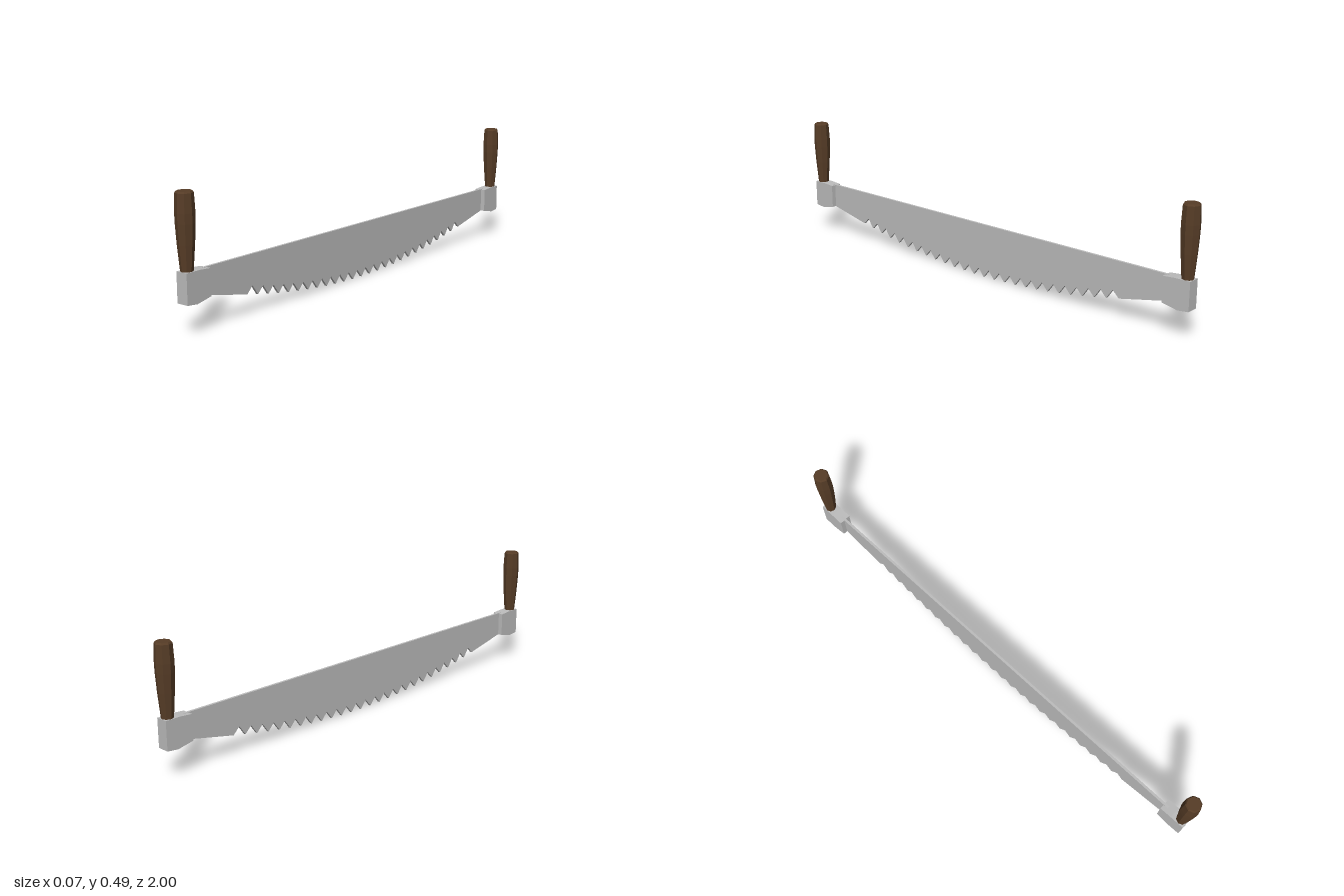
import * as THREE from 'three';

export function createModel() {
  const steel = new THREE.MeshStandardMaterial({ color: 0xbcbcbc });
  steel.name = 'steel';
  const wood = new THREE.MeshStandardMaterial({ color: 0x573d27 });
  wood.name = 'dark wood';
  const model = new THREE.Group();
  model.name = 'twoManSaw';

  // Extrudes a (z, y) outline to a thickness centred on x = 0
  const plate = (points, thickness) => {
    const shape = new THREE.Shape(points.map(([z, y]) => new THREE.Vector2(z, y)));
    return new THREE.ExtrudeGeometry(shape, { depth: thickness, bevelEnabled: false })
      .translate(0, 0, -thickness / 2)
      .rotateY(-Math.PI / 2);
  };
  const add = (parent, name, geometry, material) => {
    const mesh = new THREE.Mesh(geometry, material);
    mesh.name = name;
    parent.add(mesh);
    return mesh;
  };

  // Blade: straight back, bowed row of teeth
  const pitch = 0.055, teeth = 26;
  const bow = z => 0.165 * z * z;
  const outline = [[0.9, 0.22], [-0.9, 0.22], [-0.9, 0.124]];
  for (let i = 0; i < teeth; i++) {
    const z = (i - (teeth - 1) / 2) * pitch;
    outline.push([z, bow(z)]);
    if (i < teeth - 1) outline.push([z + pitch / 2, bow(z + pitch / 2) + 0.033]);
  }
  outline.push([0.9, 0.124]);
  add(model, 'blade', plate(outline, 0.01), steel);

  // Handle at each end: steel bracket and eight-sided wooden grip
  const bracket = plate([
    [0.88, 0.12], [0.945, 0.107], [0.99, 0.112], [0.99, 0.222], [0.93, 0.222], [0.88, 0.218],
  ], 0.048);
  const profile = [
    [0, 0.215], [0.022, 0.215], [0.023, 0.23], [0.03, 0.315], [0.034, 0.385],
    [0.0345, 0.42], [0.0315, 0.486], [0.027, 0.492], [0, 0.492],
  ].map(([r, y]) => new THREE.Vector2(r, y));
  const grip = new THREE.LatheGeometry(profile, 8).toNonIndexed();
  grip.computeVertexNormals();

  for (const [name, turn] of [['frontHandle', 0], ['backHandle', Math.PI]]) {
    const handle = new THREE.Group();
    handle.name = name;
    add(handle, 'bracket', bracket, steel);
    add(handle, 'grip', grip, wood).position.z = 0.9655;
    handle.rotation.y = turn;
    model.add(handle);
  }
  return model;
}
